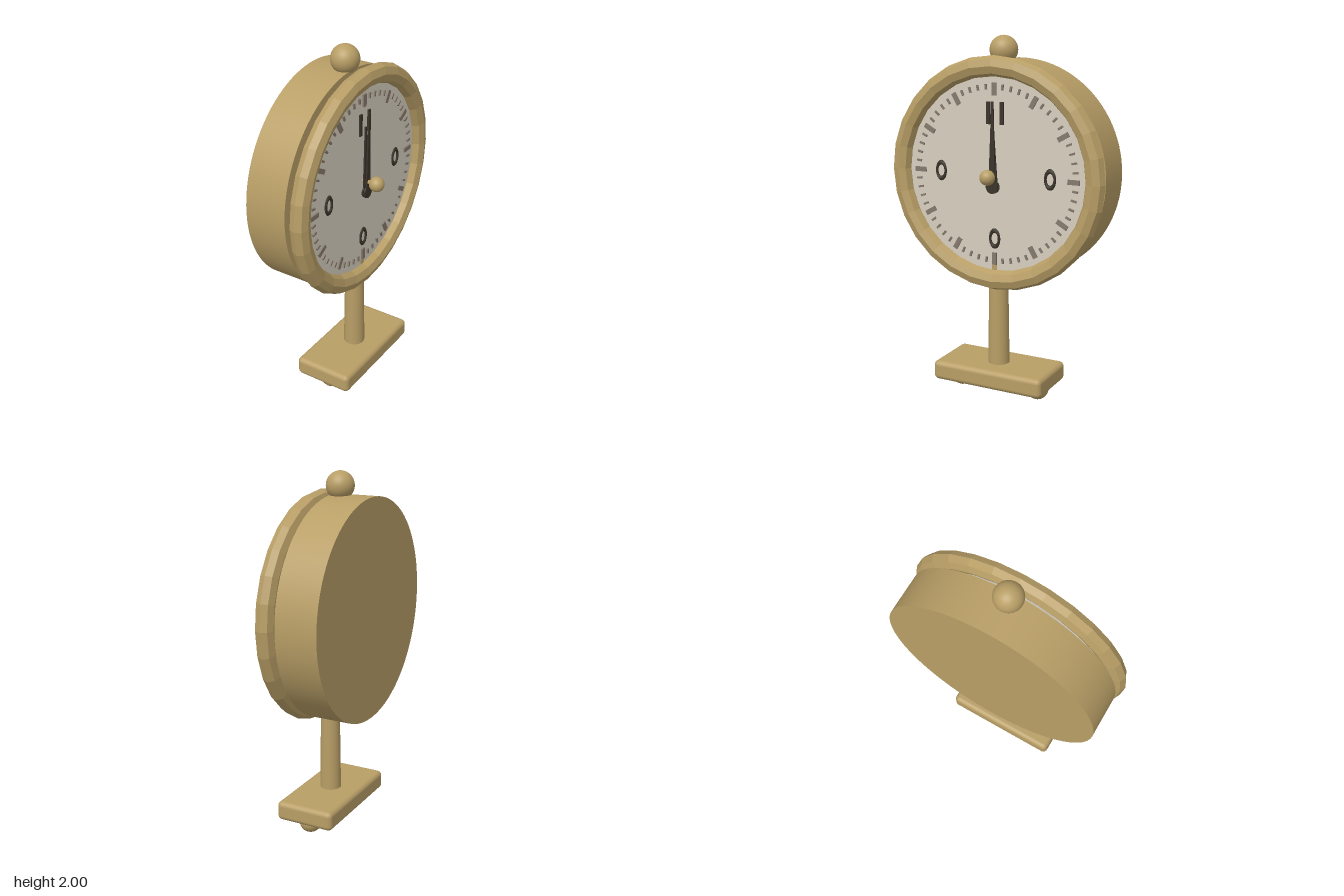
import * as THREE from 'three';
import { RoundedBoxGeometry } from 'three/addons/geometries/RoundedBoxGeometry.js';

const mat = (color, flatShading = false) => new THREE.MeshStandardMaterial({ color, flatShading });

export function createModel() {
  const model = new THREE.Group();
  model.name = 'tableClock';
  // The whole clock is turned slightly to its left
  const clock = new THREE.Group();
  clock.name = 'clock';
  clock.position.x = -0.009;
  clock.rotation.y = 0.123;
  model.add(clock);

  const brass = mat(0xb89e66);
  const brassFlat = mat(0xb89e66, true);
  const cream = mat(0xd6cebf);
  const tickMat = mat(0x85796c);
  const dark = mat(0x3a342a);
  const add = (parent, name, geometry, material, x = 0, y = 0, z = 0) => {
    const mesh = new THREE.Mesh(geometry, material);
    mesh.name = name;
    mesh.position.set(x, y, z);
    parent.add(mesh);
    return mesh;
  };

  // Stand: rounded plate, ball feet and tapered post
  add(clock, 'base', new RoundedBoxGeometry(0.67, 0.11, 0.345, 3, 0.028), brass, -0.004, 0.125, 0.052);
  for (const side of [-1, 1]) {
    add(clock, side > 0 ? 'leftFoot' : 'rightFoot',
      new THREE.SphereGeometry(0.063, 24, 16), brass, side * 0.24, 0.063, 0.055);
  }
  add(clock, 'post', new THREE.CylinderGeometry(0.052, 0.061, 0.62, 24), brass, -0.002, 0.46, 0.057);

  // Head: everything centred on the dial axis
  const head = new THREE.Group();
  head.name = 'head';
  head.position.y = 1.26;
  clock.add(head);

  const drum = new THREE.CylinderGeometry(0.613, 0.613, 0.237, 96).rotateX(Math.PI / 2);
  add(head, 'drumCase', drum, brass, 0, 0, -0.0805);
  add(head, 'topBall', new THREE.SphereGeometry(0.077, 32, 20), brass, -0.002, 0.663, -0.006);

  const bezel = add(head, 'bezel', new THREE.TorusGeometry(0.584, 0.055, 8, 28), brassFlat, 0, 0, 0.11);
  bezel.scale.z = 0.9;
  add(head, 'dial', new THREE.CylinderGeometry(0.54, 0.54, 0.02, 64).rotateX(Math.PI / 2), cream, 0, 0, 0.097);

  // Minute and hour ticks around the dial
  const ticks = new THREE.Group();
  ticks.name = 'ticks';
  head.add(ticks);
  for (let i = 0; i < 60; i++) {
    const hour = i % 5 === 0;
    const a = (i / 60) * Math.PI * 2;
    const r = hour ? 0.463 : 0.475;
    const tick = add(ticks, hour ? 'hourTick' : 'minuteTick',
      new THREE.BoxGeometry(hour ? 0.026 : 0.011, hour ? 0.068 : 0.03, 0.012),
      tickMat, Math.sin(a) * r, Math.cos(a) * r, 0.11);
    tick.rotation.z = -a;
  }

  // Raised quarter markers: a pair of bars at the top, oval rings elsewhere
  for (const x of [-0.035, 0.045]) {
    add(head, 'topMarkerBar', new THREE.BoxGeometry(0.022, 0.12, 0.012), dark, x, 0.335, 0.11);
  }
  for (const [x, y] of [[0.328, 0.003], [0, -0.35], [-0.332, 0.003]]) {
    const ring = add(head, 'quarterMarker', new THREE.TorusGeometry(0.027, 0.008, 6, 24), dark, x, y, 0.109);
    ring.scale.y = 1.65;
  }

  // Hands: tapered blades with a round tail
  const hand = (name, length, width, tilt, z) => {
    const shape = new THREE.Shape();
    shape.moveTo(-width / 2, -0.06);
    shape.lineTo(width / 2, -0.06);
    shape.lineTo(0.005, length);
    shape.lineTo(-0.005, length);
    const geometry = new THREE.ExtrudeGeometry(shape, { depth: 0.008, bevelEnabled: false });
    const group = new THREE.Group();
    group.name = name;
    group.position.z = z;
    group.rotation.z = tilt;
    add(group, 'blade', geometry, dark);
    const tail = new THREE.CylinderGeometry(0.036, 0.036, 0.008, 24).rotateX(Math.PI / 2);
    add(group, 'tail', tail, dark, 0, -0.06, 0.004);
    head.add(group);
  };
  hand('hourHand', 0.32, 0.05, 0.02, 0.12);
  hand('minuteHand', 0.4, 0.04, -0.01, 0.134);

  // Spindle and centre knob
  add(head, 'spindle', new THREE.CylinderGeometry(0.012, 0.012, 0.09, 16).rotateX(Math.PI / 2), brass, 0, 0, 0.15);
  add(head, 'centreKnob', new THREE.SphereGeometry(0.042, 24, 16), brass, 0, 0, 0.192);

  return model;
}
